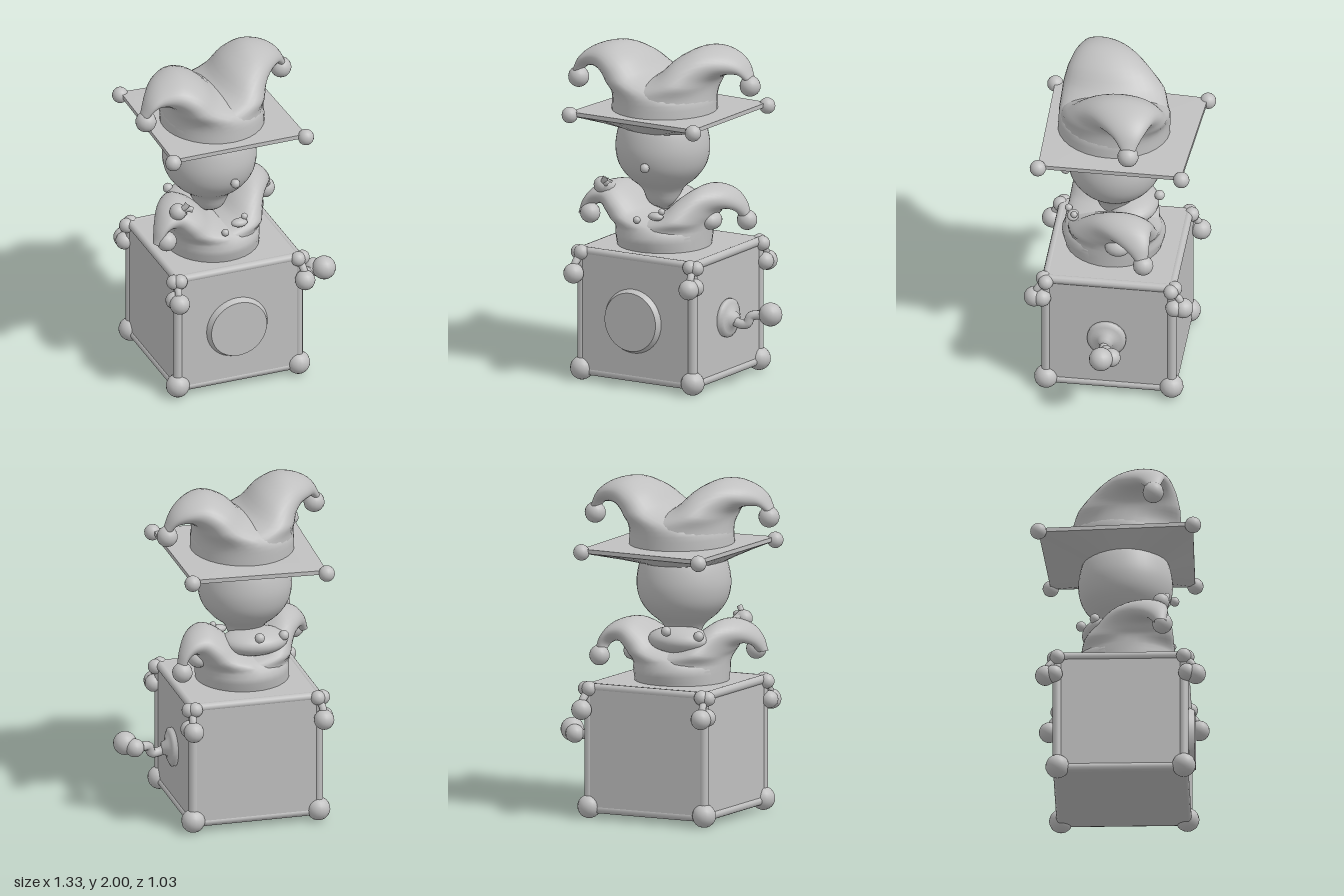
import * as THREE from 'three';
import { toCreasedNormals } from 'three/addons/utils/BufferGeometryUtils.js';
import { RoundedBoxGeometry } from 'three/addons/geometries/RoundedBoxGeometry.js';

const grey = new THREE.MeshStandardMaterial({ color: 0xc0c0c0 });
grey.name = 'plain grey';
const V = (x, y, z) => new THREE.Vector3(x, y, z);
const AXIS = -0.125; // x of the toy's middle line

function add(group, name, geometry, pos = [0, 0, 0], scale = [1, 1, 1]) {
  const mesh = new THREE.Mesh(geometry, grey);
  mesh.name = name;
  mesh.position.set(...pos);
  mesh.scale.set(...scale);
  group.add(mesh);
  return mesh;
}

const ball = (group, name, r, x, y, z) =>
  add(group, name, new THREE.SphereGeometry(r, 16, 12), [x, y, z]);

function rod(group, name, points, r) {
  const curve = new THREE.CatmullRomCurve3(points.map(p => V(...p)));
  return add(group, name, new THREE.TubeGeometry(curve, points.length * 6, r, 10));
}

// Skin over closed rings that all hold the same number of points
function loft(rings) {
  const n = rings[0].length, index = [];
  for (let i = 0; i < rings.length - 1; i++) {
    for (let j = 0; j < n; j++) {
      const a = i * n + j, b = i * n + (j + 1) % n;
      index.push(a, a + n, b, b, a + n, b + n);
    }
  }
  const g = new THREE.BufferGeometry().setFromPoints(rings.flat());
  g.setIndex(index);
  g.computeVertexNormals();
  return g;
}

// Drooping horn: inner and outer profile as [x, y], half depth and z centre per section
function horn(side, under, over, depth, centre) {
  const curve = pts => new THREE.CatmullRomCurve3(pts);
  const place = (p, i) => V(side < 0 ? 2 * AXIS - p[0] : p[0], p[1], centre[i]);
  const low = curve(under.map(place)), high = curve(over.map(place));
  const wide = curve(depth.map(d => V(d, 0, 0)));
  const rings = [];
  for (let i = 0; i <= 28; i++) {
    const t = i / 28, a = low.getPoint(t), b = high.getPoint(t), w = wide.getPoint(t).x;
    const mid = a.clone().add(b).multiplyScalar(0.5), u = a.sub(b).multiplyScalar(0.5);
    rings.push(Array.from({ length: 32 }, (_, j) => {
      const q = j / 32 * Math.PI * 2;
      return mid.clone().addScaledVector(u, Math.cos(q)).add(V(0, 0, side * w * Math.sin(q)));
    }));
  }
  return loft(rings);
}

function buildBox() {
  const g = new THREE.Group();
  g.name = 'box';
  add(g, 'boxBody', new RoundedBoxGeometry(0.79, 0.765, 0.785, 3, 0.02), [-0.1, 0.415, 0.005]);
  const xs = [-0.48, 0.28], zs = [0.375, -0.365], ys = [0.06, 0.775];
  // Round edge trim
  for (const x of xs) for (const z of zs) rod(g, 'uprightTrim', [[x, ys[0], z], [x, ys[1], z]], 0.028);
  for (const y of ys) {
    for (const z of zs) rod(g, 'wideTrim', [[xs[0], y, z], [xs[1], y, z]], 0.026);
    for (const x of xs) rod(g, 'deepTrim', [[x, y, zs[0]], [x, y, zs[1]]], 0.026);
  }
  // Corner knobs and hanging bells
  for (const x of xs) for (const z of zs) {
    const sx = x < -0.1 ? -1 : 1, sz = Math.sign(z);
    ball(g, 'foot', 0.07, x, 0.07, z);
    ball(g, 'topKnob', 0.044, x - sx * 0.008, 0.77, z + sz * 0.018);
    ball(g, 'topKnob', 0.044, x + sx * 0.025, 0.765, z);
    ball(g, 'bell', 0.06, x + sx * 0.015, 0.65, z + sz * 0.07);
    ball(g, 'bell', 0.052, x + sx * 0.03, 0.655, z + sz * 0.02);
    rod(g, 'bellString', [[x, 0.76, z], [x + sx * 0.015, 0.71, z + sz * 0.05], [x + sx * 0.015, 0.66, z + sz * 0.065]], 0.022);
  }
  // Round plate on the front
  const plate = add(g, 'frontPlate', new THREE.CylinderGeometry(0.175, 0.195, 0.04, 40), [-0.115, 0.4, 0.412]);
  plate.rotation.x = Math.PI / 2;
  return g;
}

function buildCrank() {
  const g = new THREE.Group();
  g.name = 'crank';
  const profile = [[0, -0.02], [0.115, -0.02], [0.115, 0.01], [0.09, 0.022], [0.05, 0.03], [0.035, 0.06], [0, 0.065]];
  const base = add(g, 'crankBase', new THREE.LatheGeometry(profile.map(p => new THREE.Vector2(...p)), 24), [0.305, 0.395, 0.015]);
  base.rotation.z = -Math.PI / 2;
  rod(g, 'crankArm', [[0.33, 0.39, 0.02], [0.39, 0.37, 0.02], [0.43, 0.375, 0.01], [0.45, 0.42, 0], [0.5, 0.43, -0.02], [0.56, 0.44, -0.02]], 0.028);
  ball(g, 'crankKnob', 0.07, 0.59, 0.45, 0.01);
  ball(g, 'crankKnobBack', 0.055, 0.545, 0.435, -0.045);
  return g;
}

function buildBody() {
  const g = new THREE.Group();
  g.name = 'body';
  const under = [[0.15, 0.78], [0.155, 0.9], [0.16, 0.95], [0.175, 0.98], [0.195, 1.01], [0.23, 1.02], [0.26, 1], [0.265, 0.96]];
  const over = [[-0.4, 0.78], [-0.38, 0.92], [-0.09, 1.01], [0.01, 1.1], [0.12, 1.165], [0.23, 1.14], [0.3, 1.06], [0.33, 0.97]];
  const depth = [0.28, 0.28, 0.26, 0.22, 0.17, 0.12, 0.07, 0.035];
  add(g, 'leftShoulder', horn(1, under, over, depth, [0.03, 0.02, 0.01, -0.02, -0.06, -0.11, -0.16, -0.19]));
  add(g, 'rightShoulder', horn(-1, under, over, depth, [0.03, 0.04, 0.05, 0.08, 0.11, 0.16, 0.21, 0.24]));
  ball(g, 'shoulderBell', 0.06, 0.3, 0.94, -0.2);
  ball(g, 'shoulderBell', 0.06, -0.5, 0.975, 0.25);
  // Collar behind the neck, with beads
  add(g, 'collar', new THREE.SphereGeometry(1, 24, 16), [-0.17, 1.05, -0.08], [0.2, 0.08, 0.15]);
  ball(g, 'bead', 0.03, -0.16, 1.12, -0.235);
  ball(g, 'bead', 0.03, -0.33, 1.09, -0.15);
  ball(g, 'bead', 0.022, -0.15, 0.985, 0.3);
  // Raised arm and hand
  rod(g, 'raisedArm', [[-0.29, 1.05, -0.02], [-0.36, 1.08, 0.1], [-0.4, 1.13, 0.21], [-0.42, 1.16, 0.25]], 0.045);
  ball(g, 'raisedHand', 0.05, -0.425, 1.15, 0.24);
  rod(g, 'finger', [[-0.42, 1.16, 0.25], [-0.39, 1.19, 0.27], [-0.375, 1.215, 0.275]], 0.017);
  rod(g, 'thumb', [[-0.42, 1.16, 0.25], [-0.36, 1.17, 0.27], [-0.345, 1.165, 0.28]], 0.017);
  // Lowered hand and small chest hand
  add(g, 'loweredHand', new THREE.SphereGeometry(1, 16, 12), [0.16, 0.955, -0.03], [0.06, 0.055, 0.075]);
  add(g, 'chestHand', new THREE.SphereGeometry(1, 14, 10), [-0.045, 1.01, 0.26], [0.05, 0.025, 0.035]);
  ball(g, 'chestThumb', 0.02, -0.01, 1.04, 0.25);
  return g;
}

function buildHead() {
  const g = new THREE.Group();
  g.name = 'head';
  const profile = new THREE.SplineCurve([[0.001, 1], [0.08, 1.04], [0.125, 1.13], [0.2, 1.195], [0.255, 1.27], [0.277, 1.36], [0.27, 1.45], [0.245, 1.53], [0.2, 1.58]]
    .map(p => new THREE.Vector2(...p)));
  add(g, 'face', new THREE.LatheGeometry(profile.getPoints(32), 40), [-0.14, 0, 0.025]);
  ball(g, 'nose', 0.028, -0.09, 1.305, 0.31);
  return g;
}

function buildHat() {
  const g = new THREE.Group();
  g.name = 'hat';
  // Four-cornered brim that tapers down to the head
  const corners = [V(0.31, 1.585, 0.42), V(-0.53, 1.59, 0.43), V(-0.5, 1.575, -0.475), V(0.3, 1.575, -0.425)];
  const round = [], edge = [], edgeTop = [], middle = [];
  for (let j = 0; j < 32; j++) {
    const q = Math.PI / 4 + j / 32 * Math.PI * 2, k = Math.floor(j / 8);
    round.push(V(AXIS + 0.25 * Math.cos(q), 1.5, 0.02 + 0.25 * Math.sin(q)));
    edge.push(corners[k].clone().lerp(corners[(k + 1) % 4], (j % 8) / 8));
    edgeTop.push(edge[j].clone().add(V(0, 0.025, 0)));
    middle.push(V(AXIS, 1.61, 0.02));
  }
  add(g, 'brim', toCreasedNormals(loft([round, edge, edgeTop, middle]), 0.6));
  for (const c of corners) ball(g, 'brimBell', 0.048, c.x, c.y + 0.005, c.z);
  // Crown split into two drooping horns
  const under = [[0.18, 1.59], [0.175, 1.7], [0.18, 1.77], [0.2, 1.81], [0.24, 1.835], [0.29, 1.84], [0.325, 1.83], [0.345, 1.8]];
  const over = [[-0.43, 1.59], [-0.41, 1.72], [-0.13, 1.83], [-0.01, 1.94], [0.12, 1.998], [0.25, 1.975], [0.34, 1.91], [0.395, 1.81]];
  const depth = [0.33, 0.325, 0.3, 0.25, 0.19, 0.13, 0.08, 0.04];
  add(g, 'leftHorn', horn(1, under, over, depth, [0.03, 0.02, 0, -0.03, -0.06, -0.09, -0.11, -0.12]));
  add(g, 'rightHorn', horn(-1, under, over, depth, [0.03, 0.03, 0.05, 0.08, 0.11, 0.14, 0.18, 0.2]));
  ball(g, 'hornBell', 0.062, 0.37, 1.77, -0.12);
  ball(g, 'hornBell', 0.062, -0.61, 1.77, 0.2);
  return g;
}

export function createModel() {
  const model = new THREE.Group();
  model.name = 'jesterInTheBox';
  model.add(buildBox(), buildCrank(), buildBody(), buildHead(), buildHat());
  return model;
}
